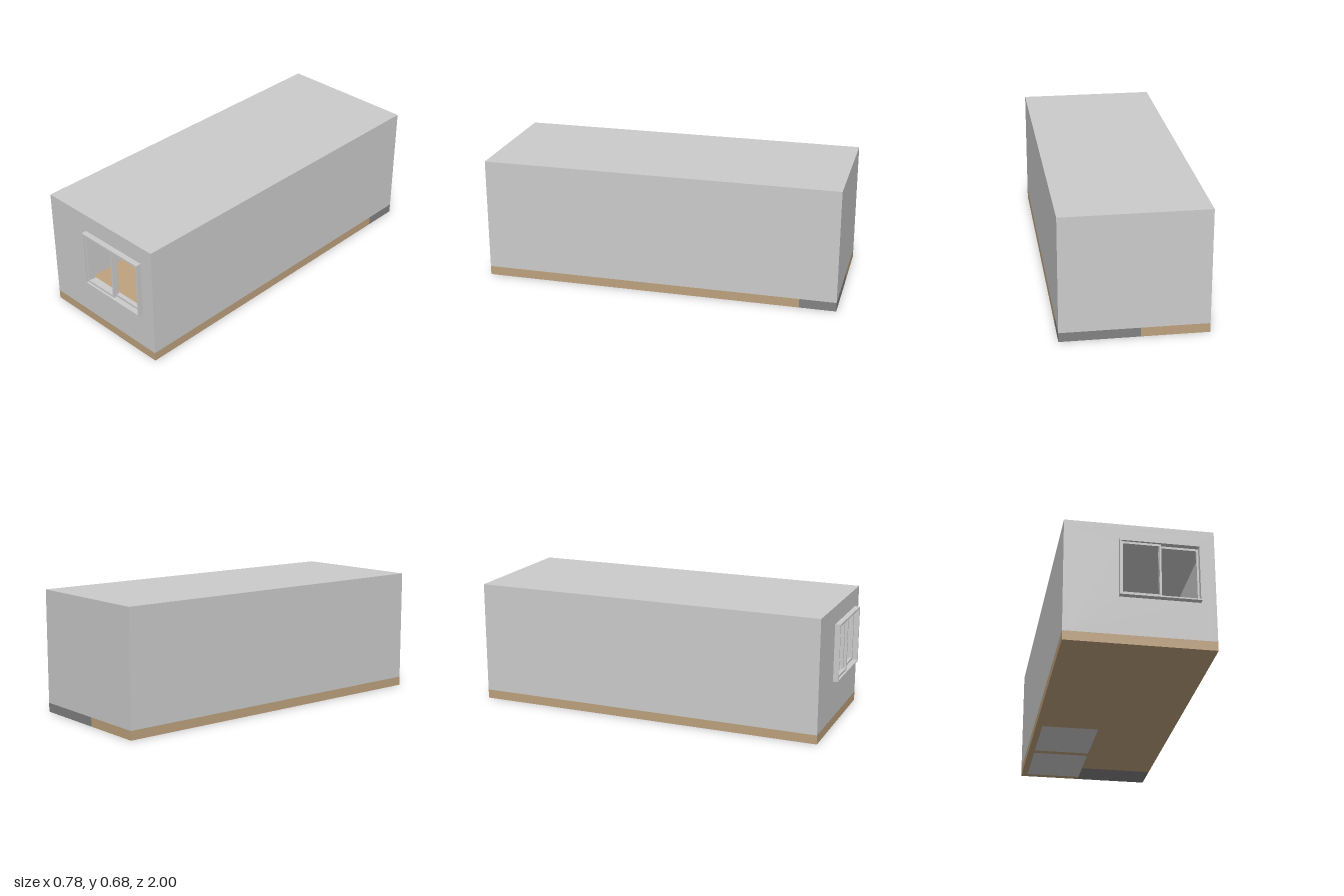
import * as THREE from 'three';

const grey = new THREE.MeshStandardMaterial({ color: 0xcccccc });
const wood = new THREE.MeshStandardMaterial({ color: 0xbea27e });
const darkTile = new THREE.MeshStandardMaterial({ color: 0x828282 });

// Box given by its extents on each axis
function box(parent, name, [x0, x1], [y0, y1], [z0, z1], material = grey) {
  const mesh = new THREE.Mesh(new THREE.BoxGeometry(x1 - x0, y1 - y0, z1 - z0), material);
  mesh.position.set((x0 + x1) / 2, (y0 + y1) / 2, (z0 + z1) / 2);
  mesh.name = name;
  parent.add(mesh);
  return mesh;
}

function rectPath(x0, y0, x1, y1, PathType = THREE.Path) {
  const p = new PathType();
  p.moveTo(x0, y0).lineTo(x1, y0).lineTo(x1, y1).lineTo(x0, y1).closePath();
  return p;
}

// Upright rectangular ring between z0 and z1
function ring(parent, name, outer, inner, z0, z1) {
  const shape = rectPath(...outer, THREE.Shape);
  shape.holes.push(rectPath(...inner));
  const mesh = new THREE.Mesh(
    new THREE.ExtrudeGeometry(shape, { depth: z1 - z0, bevelEnabled: false }), grey);
  mesh.position.z = z0;
  mesh.name = name;
  parent.add(mesh);
}

function group(parent, name) {
  const g = new THREE.Group();
  g.name = name;
  parent.add(g);
  return g;
}

const W = 0.389, H = 0.677, FLOOR = 0.05, BACK = -1, FRONT = 0.97, T = 0.034;
const wallY = [FLOOR, H - T];

export function createModel() {
  const model = new THREE.Group();
  model.name = 'roomUnit';

  // Floor slab with a notch for the entry and openings for the wet rooms
  const floor = group(model, 'floor');
  const slab = new THREE.Shape();
  slab.moveTo(-W, -FRONT).lineTo(W, -FRONT).lineTo(W, 0.8).lineTo(-0.03, 0.8)
    .lineTo(-0.03, 1).lineTo(-W, 1).closePath();
  const wetRooms = [[-0.96, -0.58], [-0.54, -0.15]];
  for (const [z0, z1] of wetRooms) {
    slab.holes.push(rectPath(-0.353, -z1, -0.033, -z0));
    box(floor, 'wetRoomFloor', [-0.353, -0.033], [0, FLOOR], [z0, z1]);
  }
  const slabMesh = new THREE.Mesh(
    new THREE.ExtrudeGeometry(slab, { depth: FLOOR, bevelEnabled: false }), wood);
  slabMesh.rotation.x = -Math.PI / 2;
  slabMesh.name = 'woodFloor';
  floor.add(slabMesh);
  box(floor, 'entryFloor', [-0.03, W], [0, FLOOR], [BACK, -0.8], darkTile);

  // Outer shell
  const shell = group(model, 'shell');
  box(shell, 'ceiling', [-W, W], [H - T, H], [BACK, FRONT]);
  box(shell, 'backWall', [-W, W], wallY, [BACK, BACK + T]);
  for (const s of [-1, 1]) {
    const xs = [s * W, s * (W - T)].sort((a, b) => a - b);
    box(shell, 'sideWall', xs, wallY, [BACK + T, FRONT]);
  }
  ring(shell, 'frontWall', [-W + T, FLOOR, W - T, H - T], [-0.1, 0.268, 0.303, 0.57],
    FRONT - T, FRONT);

  // Sliding window
  const win = group(model, 'window');
  ring(win, 'windowFrame', [-0.108, 0.26, 0.31, 0.578], [-0.1, 0.268, 0.303, 0.568], FRONT - T, 1);
  ring(win, 'leftSash', [0.097, 0.268, 0.303, 0.568], [0.107, 0.28, 0.293, 0.556], 0.955, 0.97);
  ring(win, 'rightSash', [-0.1, 0.268, 0.107, 0.568], [-0.09, 0.28, 0.097, 0.556], 0.973, 0.988);

  // Wet room partitions
  const partitions = group(model, 'partitions');
  box(partitions, 'corridorWall', [-0.055, -0.025], wallY, [BACK + T, -0.12]);
  for (const [z0, z1] of [[-0.58, -0.54], [-0.15, -0.12]])
    box(partitions, 'crossWall', [-W + T, -0.055], wallY, [z0, z1]);

  // Wet room doors facing the corridor
  for (const z of [-0.35, -0.72]) {
    const door = group(model, 'wetRoomDoor');
    box(door, 'doorLeaf', [-0.026, -0.021], [FLOOR, 0.53], [z - 0.09, z + 0.09]);
    box(door, 'handlePlate', [-0.021, -0.019], [0.3, 0.34], [z + 0.06, z + 0.075]);
    box(door, 'handle', [-0.019, -0.008], [0.322, 0.328], [z + 0.03, z + 0.07]);
  }

  // Entrance door with latch, lock and closer
  const entrance = group(model, 'entranceDoor');
  const dz = BACK + T;
  box(entrance, 'doorLeaf', [-0.02, 0.142], [FLOOR, 0.53], [dz, dz + 0.012]);
  box(entrance, 'doorJamb', [0.142, 0.152], [FLOOR, 0.53], [dz, dz + 0.016]);
  box(entrance, 'handlePlate', [0.133, 0.141], [0.24, 0.32], [dz + 0.012, dz + 0.02]);
  box(entrance, 'latch', [0.122, 0.141], [0.38, 0.386], [dz + 0.012, dz + 0.022]);
  box(entrance, 'closerBody', [0.005, 0.048], [0.502, 0.512], [dz + 0.012, dz + 0.028]);
  box(entrance, 'closerArm', [0.012, 0.064], [0.517, 0.525], [dz + 0.016, dz + 0.024]);
  const pivot = new THREE.Mesh(new THREE.CylinderGeometry(0.004, 0.004, 0.025, 12), grey);
  pivot.position.set(0.016, 0.509, dz + 0.02);
  pivot.name = 'closerPivot';
  entrance.add(pivot);

  return model;
}
